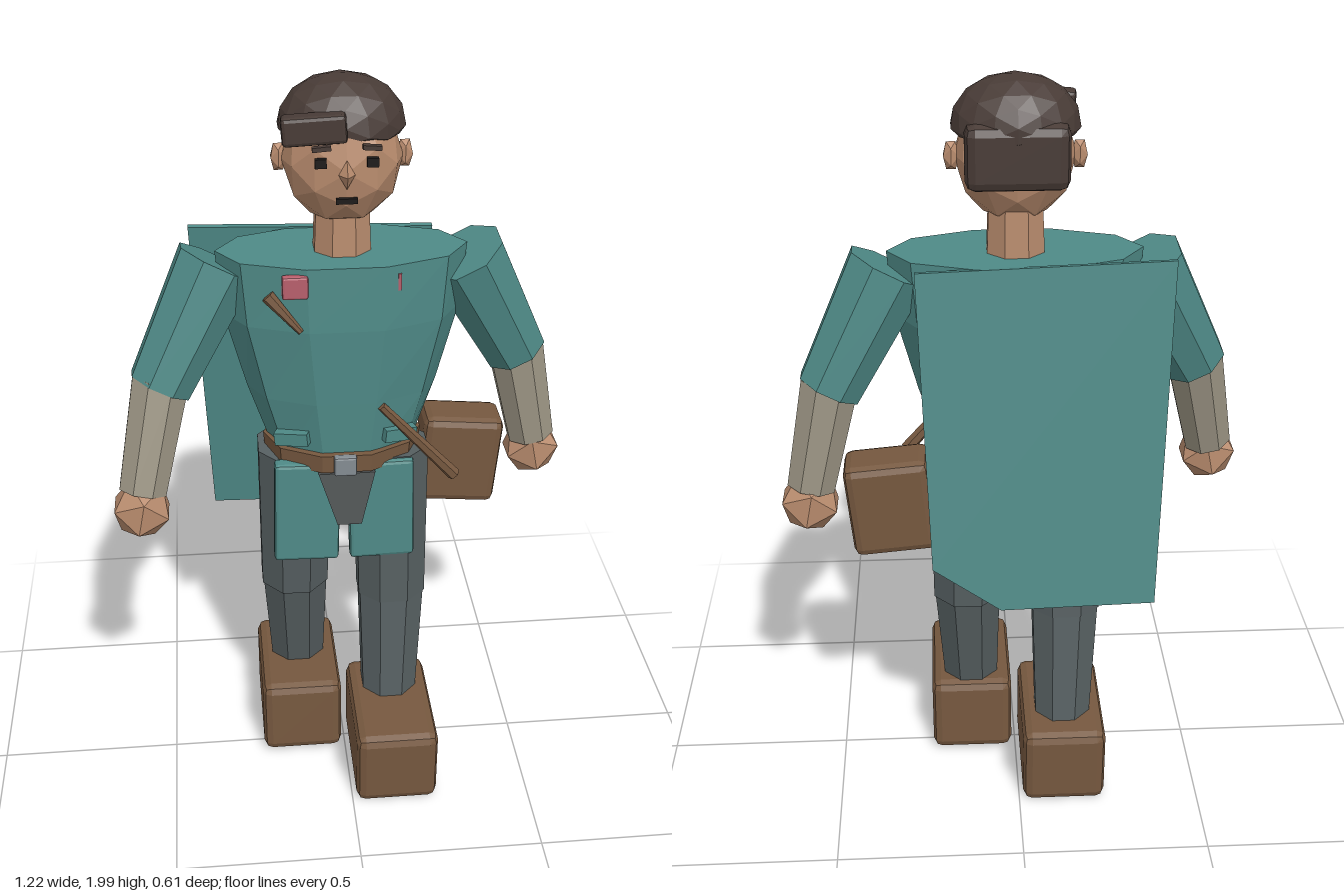
import * as THREE from 'three';
import { RoundedBoxGeometry } from 'three/addons/geometries/RoundedBoxGeometry.js';

const mat = (color) => new THREE.MeshStandardMaterial({ color, flatShading: true });
const M = {
  teal: mat(0x4f8a87), skin: mat(0xb98c6e), brown: mat(0x76583f), pants: mat(0x565f61),
  wrap: mat(0x9e9786), hair: mat(0x483b36), dark: mat(0x1c1918), red: mat(0xb85f6c),
  steel: mat(0x848c92), cloth: mat(0x55595a),
};

export function createModel() {
  const root = new THREE.Group();

  const add = (name, geo, material, pos = [0, 0, 0], rot = [0, 0, 0], scale = [1, 1, 1], parent = root) => {
    const m = new THREE.Mesh(geo, material);
    m.name = name;
    m.position.set(...pos);
    m.rotation.set(...rot);
    m.scale.set(...scale);
    parent.add(m);
    return m;
  };
  const box = (w, h, d) => new THREE.BoxGeometry(w, h, d);
  const chamferBox = (w, h, d, r) => new RoundedBoxGeometry(w, h, d, 1, r);

  // Tapered faceted limb between two points
  const limb = (name, a, b, ra, rb, material, parent = root, sides = 8) => {
    const A = new THREE.Vector3(...a), B = new THREE.Vector3(...b);
    const dir = A.clone().sub(B);
    const m = add(name, new THREE.CylinderGeometry(ra, rb, dir.length(), sides).rotateY(Math.PI / sides), material, [0, 0, 0], [0, 0, 0], [1, 1, 1], parent);
    m.position.copy(A).add(B).multiplyScalar(0.5);
    m.quaternion.setFromUnitVectors(new THREE.Vector3(0, 1, 0), dir.normalize());
    return m;
  };

  // Ten-sided body through rings of [y, half width, half depth], top to bottom
  const loft = (rings) => {
    const n = rings.length - 1;
    const g = new THREE.CylinderGeometry(1, 1, 1, 10, n).rotateY(Math.PI / 10);
    const p = g.attributes.position;
    for (let i = 0; i < p.count; i++) {
      const [y, w, d] = rings[Math.round((0.5 - p.getY(i)) * n)];
      p.setXYZ(i, p.getX(i) * w, y, p.getZ(i) * d);
    }
    g.computeVertexNormals();
    return g;
  };
  const plate = (points, depth) => new THREE.ExtrudeGeometry(
    new THREE.Shape(points.map(([x, y]) => new THREE.Vector2(x, y))), { depth, bevelEnabled: false });

  // Tunic, belt and buckle
  add('tunic', loft([[1.56, 0.32, 0.15], [1.39, 0.305, 0.155], [1.18, 0.25, 0.145], [1.0, 0.19, 0.135]]), M.teal, [0, 0, -0.05]);
  add('belt', loft([[1.035, 0.212, 0.158], [0.985, 0.208, 0.156]]), M.brown, [0, 0, -0.05]);
  add('buckle', chamferBox(0.06, 0.055, 0.025, 0.006), M.steel, [-0.005, 1.01, 0.105]);
  add('hips', loft([[1.0, 0.19, 0.13], [0.9, 0.17, 0.1]]), M.pants, [0, 0, -0.05]);

  // Skirt flaps and pocket flaps
  for (const s of [-1, 1]) {
    add('frontSkirtFlap', chamferBox(0.175, 0.3, 0.045, 0.01), M.teal, [s * 0.1 - 0.005, 0.85, 0.06], [0, 0, s * 0.02]);
    add('backSkirtFlap', chamferBox(0.19, 0.3, 0.05, 0.01), M.teal, [s * 0.1, 0.86, -0.165], [0, 0, s * 0.02]);
    add('pocketFlap', box(0.09, 0.035, 0.03), M.teal, [s * 0.14, 1.075, 0.06], [0, s * 0.35, s * -0.1]);
  }
  add('hangingCloth', plate([[-0.075, 0.98], [-0.025, 0.82], [0.04, 0.82], [0.075, 0.98]], 0.015), M.cloth, [0, 0, 0.082]);

  // Cape: thin slab with one cut corner, swinging out behind
  const cape = plate([[-0.385, 0], [-0.35, -0.91], [0.05, -0.92], [0.225, -0.8], [0.25, -0.02]], 0.016);
  add('cape', cape, M.teal, [0, 1.575, -0.195], [0.127, 0, 0]);

  // Legs and boots in stride; each foot is set by its own z
  const legs = [
    { s: 1, hip: -0.03, knee: -0.01, ankle: 0.045, foot: 0.118 },
    { s: -1, hip: -0.05, knee: -0.095, ankle: -0.16, foot: -0.118 },
  ];
  for (const { s, hip, knee, ankle, foot } of legs) {
    const leg = new THREE.Group();
    leg.name = s > 0 ? 'leftLeg' : 'rightLeg';
    root.add(leg);
    limb('thigh', [s * 0.13, 1.0, hip], [s * 0.133, 0.54, knee], 0.105, 0.1, M.pants, leg);
    limb('shin', [s * 0.133, 0.56, knee], [s * 0.125, 0.2, ankle], 0.097, 0.08, M.pants, leg);
    add('boot', chamferBox(0.228, 0.228, 0.362, 0.025), M.brown, [s * 0.125, 0.122, foot], [s * 0.03, 0, 0], [1, 1, 1], leg);
  }

  // Arms: one swings forward, the other back
  const arms = [
    { s: 1, elbowZ: -0.115, wristZ: -0.13, handZ: -0.135 },
    { s: -1, elbowZ: 0.01, wristZ: 0.08, handZ: 0.097 },
  ];
  for (const { s, elbowZ, wristZ, handZ } of arms) {
    const arm = new THREE.Group();
    arm.name = s > 0 ? 'leftArm' : 'rightArm';
    root.add(arm);
    limb('sleeve', [s * 0.315, 1.525, -0.065], [s * 0.475, 1.22, elbowZ], 0.108, 0.085, M.teal, arm);
    limb('forearm', [s * 0.472, 1.24, elbowZ], [s * 0.535, 0.95, wristZ], 0.078, 0.066, M.wrap, arm);
    add('hand', new THREE.IcosahedronGeometry(0.088, 0), M.skin, [s * 0.54, 0.905, handZ], [0, 0, s * 0.2], [0.95, 1, 0.88], arm);
  }

  // Neck, head and face
  limb('neck', [0, 1.68, -0.05], [0, 1.53, -0.05], 0.072, 0.078, M.skin);
  add('head', new THREE.IcosahedronGeometry(1, 1), M.skin, [0, 1.8, -0.04], [0, 0, 0], [0.15, 0.168, 0.128]);
  add('nose', new THREE.OctahedronGeometry(1), M.skin, [0, 1.795, 0.085], [0, 0, 0], [0.02, 0.036, 0.025]);
  add('mouth', box(0.052, 0.013, 0.012), M.dark, [0, 1.73, 0.082]);
  for (const s of [-1, 1]) {
    add('ear', new THREE.IcosahedronGeometry(1, 0), M.skin, [s * 0.155, 1.8, -0.05], [0, 0, 0], [0.022, 0.04, 0.022]);
    add('eye', box(0.028, 0.022, 0.014), M.dark, [s * 0.062, 1.824, 0.08]);
    add('eyebrow', box(0.045, 0.011, 0.016), M.hair, [s * 0.06, 1.861, 0.083], [0, 0, s * -0.08]);
  }

  // Hair: faceted dome cut flat below, a forelock and a block at the nape
  const dome = new THREE.IcosahedronGeometry(1, 2);
  const dp = dome.attributes.position;
  for (let i = 0; i < dp.count; i++) dp.setY(i, Math.max(dp.getY(i), -0.1));
  dome.computeVertexNormals();
  add('hairDome', dome, M.hair, [0, 1.875, -0.06], [0, 0, 0], [0.158, 0.125, 0.133]);
  add('forelock', chamferBox(0.155, 0.07, 0.05, 0.01), M.hair, [-0.075, 1.9, 0.055], [0, -0.08, 0.07]);
  add('napeHair', chamferBox(0.25, 0.16, 0.075, 0.025), M.hair, [0, 1.825, -0.152]);

  // Carried things: satchel, stick, badge and quill
  add('satchel', chamferBox(0.22, 0.26, 0.135, 0.022), M.brown, [0.33, 0.9, -0.13], [0, 0, -0.09]);
  limb('stick', [0.09, 1.17, 0.085], [0.29, 0.945, 0.07], 0.012, 0.018, M.brown, root, 6);
  add('badge', chamferBox(0.065, 0.06, 0.025, 0.006), M.red, [-0.128, 1.515, 0.09]);
  add('pin', box(0.008, 0.045, 0.02), M.red, [0.132, 1.515, 0.075]);
  limb('quill', [-0.195, 1.485, 0.07], [-0.115, 1.395, 0.095], 0.018, 0.008, M.brown, root, 6);

  return root;
}
